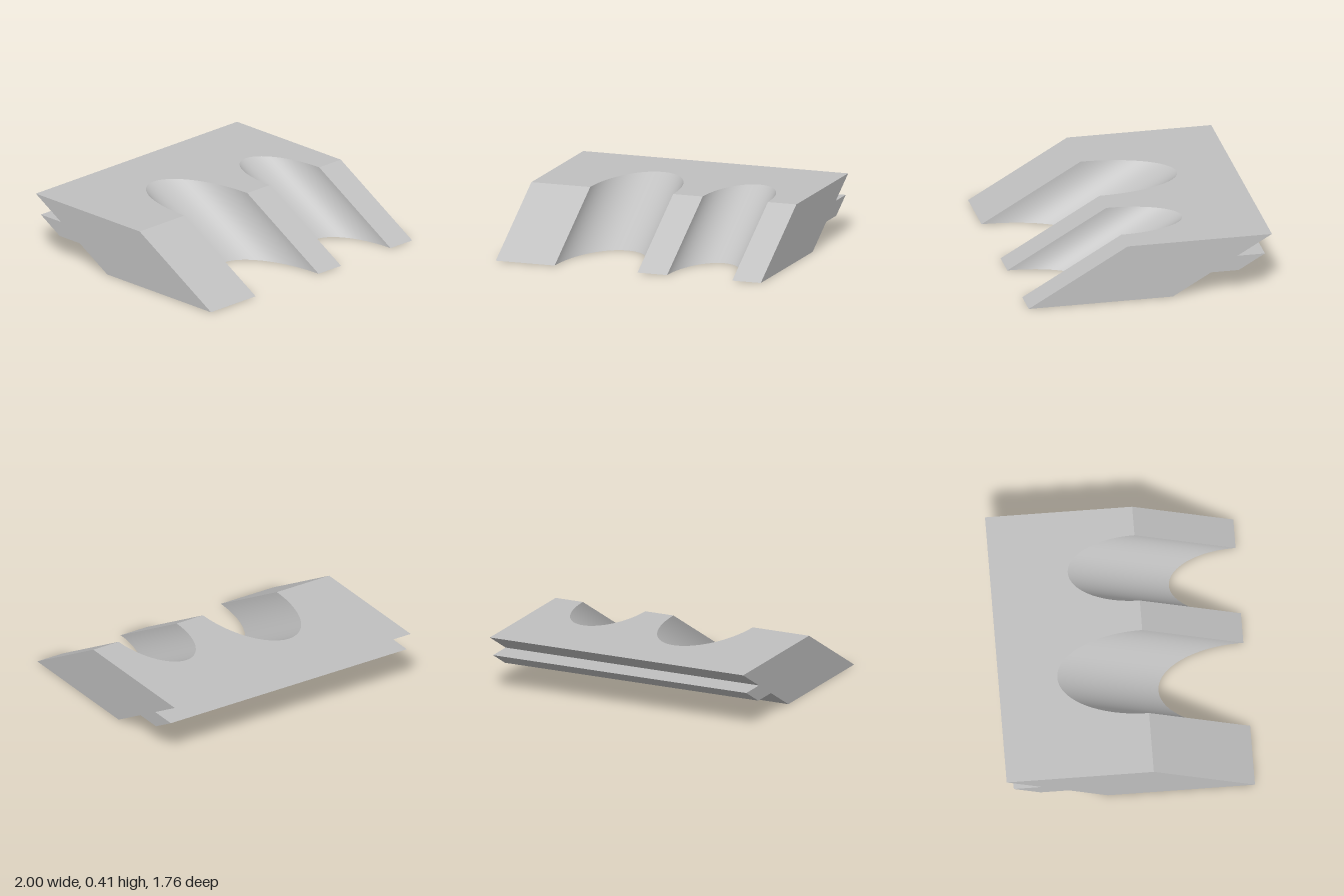
import * as THREE from 'three';
import { toCreasedNormals } from 'three/addons/utils/BufferGeometryUtils.js';

const HEIGHT = 0.415;
const LEAN = 1.727;   // backward shift in z per unit of height
const FRONT = 0.88;   // front and back edges of the slab at ground level
const BACK = -0.163;

// Slants an upright geometry towards the back
function lean(geometry) {
  geometry.applyMatrix4(new THREE.Matrix4().set(
    1, 0, 0, 0,
    0, 1, 0, 0,
    0, -LEAN, 1, 0,
    0, 0, 0, 1));
  const flat = geometry.index ? geometry.toNonIndexed() : geometry;
  return toCreasedNormals(flat, 0.4);
}

export function createModel() {
  const group = new THREE.Group();
  group.name = 'groovedBlock';
  const grey = new THREE.MeshStandardMaterial({ color: 0xc0c0c0 });
  grey.name = 'grey';

  // Slab plan, with two grooves that are round across the slanted front
  const plan = new THREE.Shape();
  plan.moveTo(-1, -FRONT);
  for (const [x, r] of [[-0.243, 0.313], [0.539, 0.246]]) {
    plan.lineTo(x - r, -FRONT);
    plan.absellipse(x, -FRONT, r, 2 * r, Math.PI, 0, true);
  }
  plan.lineTo(1, -FRONT);
  plan.lineTo(1, -BACK);
  plan.lineTo(-1, -BACK);
  plan.closePath();
  const slabGeometry = new THREE.ExtrudeGeometry(plan, {
    depth: HEIGHT, bevelEnabled: false, curveSegments: 24,
  });
  slabGeometry.rotateX(-Math.PI / 2);
  const slab = new THREE.Mesh(lean(slabGeometry), grey);
  slab.name = 'groovedSlab';
  group.add(slab);

  // Tongue along the slanted back
  const tongueGeometry = new THREE.BoxGeometry(2, 0.11, 0.2);
  tongueGeometry.translate(0, 0.215, BACK - 0.1);
  const tongue = new THREE.Mesh(lean(tongueGeometry), grey);
  tongue.name = 'backTongue';
  group.add(tongue);

  return group;
}
